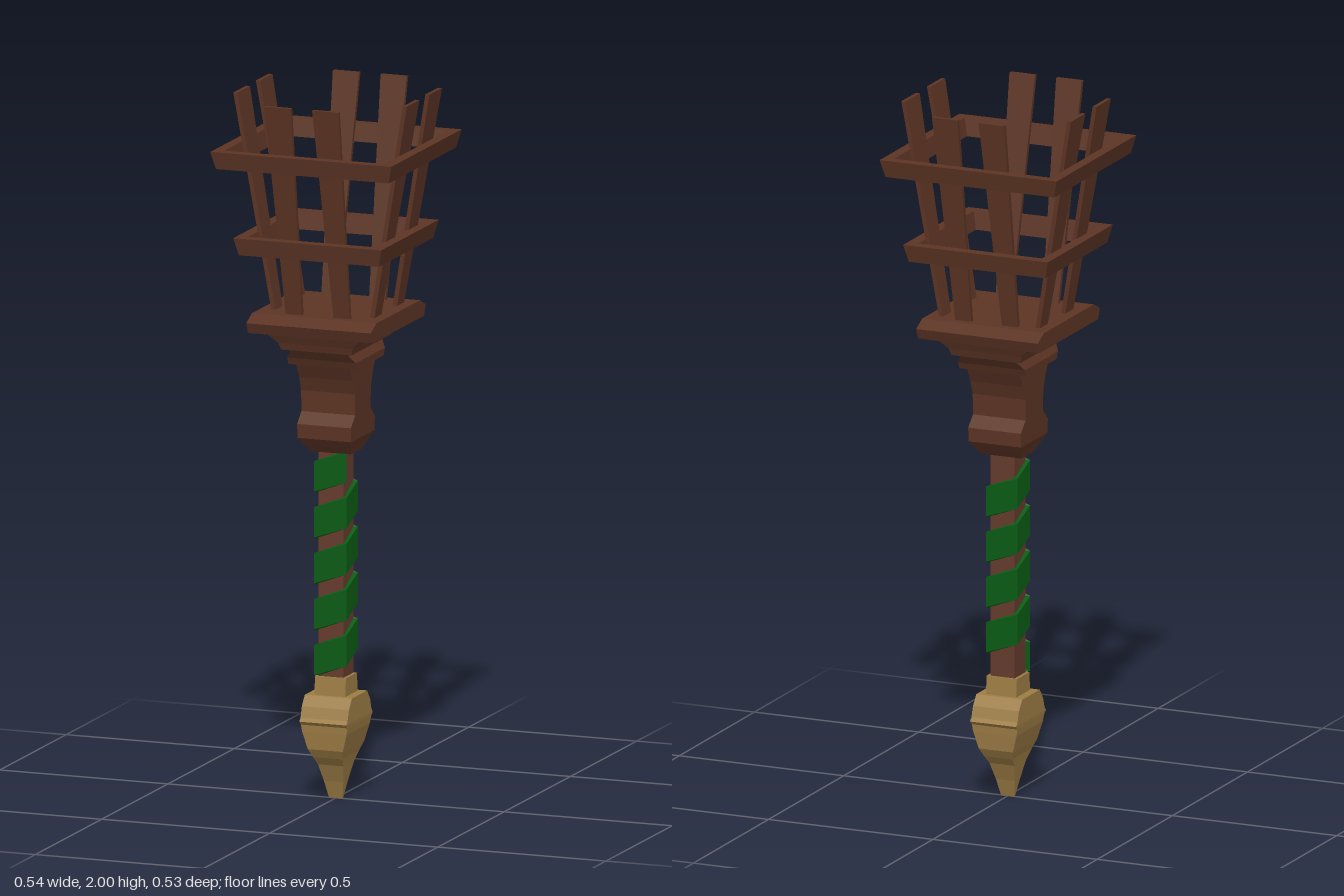
import * as THREE from 'three';

const material = (name, color) => {
  const m = new THREE.MeshStandardMaterial({ color });
  m.name = name;
  return m;
};

// Flat-shaded skin over rows of points running counterclockwise seen from above.
function skin(rows, closed, capped) {
  const out = [];
  const tri = (a, b, c) => out.push(...a, ...b, ...c);
  const n = rows[0].length;
  for (let k = 0; k < rows.length - 1; k++) {
    for (let i = 0; i < (closed ? n : n - 1); i++) {
      const j = (i + 1) % n;
      tri(rows[k][i], rows[k][j], rows[k + 1][j]);
      tri(rows[k][i], rows[k + 1][j], rows[k + 1][i]);
    }
  }
  if (capped) {
    const b = rows[0], t = rows[rows.length - 1];
    tri(b[0], b[2], b[1]); tri(b[0], b[3], b[2]);
    tri(t[0], t[1], t[2]); tri(t[0], t[2], t[3]);
  }
  const g = new THREE.BufferGeometry();
  g.setAttribute('position', new THREE.Float32BufferAttribute(out, 3));
  g.computeVertexNormals();
  return g;
}

const rect = (y, x0, x1, z0, z1) => [[x0, y, z1], [x1, y, z1], [x1, y, z0], [x0, y, z0]];
const centred = ([y, hx, hz]) => rect(y, -hx, hx, -hz, hz);

export function createModel() {
  const wood = material('brown wood', 0x5c3424);
  const grip = material('handle wood', 0x643a2c);
  const green = material('green wrap', 0x0a5a14);
  const brass = material('brass', 0x9c7c44);
  const group = new THREE.Group();
  const add = (name, geometry, mat) => {
    const mesh = new THREE.Mesh(geometry, mat);
    mesh.name = name;
    group.add(mesh);
  };

  // Pommel: [height, half width, half depth]
  add('pommel', skin([
    [0, 0.02, 0.002], [0.05, 0.029, 0.018], [0.1, 0.038, 0.04], [0.125, 0.043, 0.065],
    [0.15, 0.052, 0.081], [0.2, 0.066, 0.088], [0.22, 0.069, 0.09], [0.23, 0.07, 0.1],
    [0.24, 0.07, 0.09], [0.27, 0.07, 0.08], [0.298, 0.07, 0.058], [0.298, 0.046, 0.046],
    [0.35, 0.046, 0.042],
  ].map(centred), true, true), brass);

  // Handle and the ribbon wound around it
  add('handle', skin([centred([0.34, 0.037, 0.037]), centred([1, 0.037, 0.037])], true, true), grip);
  const turns = 4.25, pitch = 0.13, half = 0.043;
  const ribbonRow = (hx, hz, dy) => {
    const row = [];
    for (let i = 0; i <= turns * 4; i++) {
      const [x, , z] = centred([0, hx, hz])[i % 4];
      row.push([x, 0.395 + (i / 4) * pitch + dy, z]);
    }
    return row;
  };
  const wrap = green;
  wrap.side = THREE.DoubleSide;
  add('handleWrap', skin([
    ribbonRow(0.036, 0.036, -half), ribbonRow(0.048, 0.043, -half),
    ribbonRow(0.048, 0.043, half), ribbonRow(0.036, 0.036, half),
  ], false, false), wrap);

  // Moulded head block carrying the basket
  add('headBlock', skin([
    [0.985, 0.06, 0.042], [1.005, 0.068, 0.065], [1.03, 0.08, 0.088], [1.07, 0.08, 0.09],
    [1.1, 0.08, 0.058], [1.16, 0.08, 0.06], [1.2, 0.08, 0.075], [1.24, 0.08, 0.098],
    [1.24, 0.102, 0.1], [1.26, 0.102, 0.11], [1.285, 0.085, 0.13], [1.29, 0.105, 0.148],
    [1.31, 0.11, 0.155], [1.34, 0.145, 0.17], [1.34, 0.185, 0.195], [1.37, 0.185, 0.207],
    [1.39, 0.185, 0.165],
  ].map(centred), true, true), wood);

  // Two flared square hoops: [bottom, top, outer bottom, outer top, inner top, inner bottom]
  const hoops = [[1.56, 1.61, 0.208, 0.22, 0.188, 0.178], [1.81, 1.86, 0.257, 0.269, 0.239, 0.228]];
  hoops.forEach(([y0, y1, a, b, c, d], i) => {
    const profile = [[y0, a], [y1, b], [y1, c], [y0, d], [y0, a]];
    add(i ? 'upperHoop' : 'lowerHoop',
      skin(profile.map(([y, h]) => centred([y, h, h - 0.003])), true, false), wood);
  });

  // Leaning slats, two on each side, wider at the top
  for (const s of [-1, 1]) {
    const span = (p, q) => (s > 0 ? [p, q] : [-q, -p]);
    for (const c of [-0.0975, 0.0725]) {
      add('sideSlat', skin([
        rect(1.38, ...span(0.139, 0.152), c - 0.026, c + 0.026),
        rect(2, ...span(0.246, 0.258), c - 0.048, c + 0.048),
      ], true, true), wood);
    }
    for (const c of [-0.07, 0.072]) {
      add(s > 0 ? 'frontSlat' : 'backSlat', skin([
        rect(1.38, c - 0.024, c + 0.024, ...span(0.126, 0.139)),
        rect(2, c - 0.039, c + 0.039, ...span(0.252, 0.264)),
      ], true, true), wood);
    }
  }
  return group;
}
